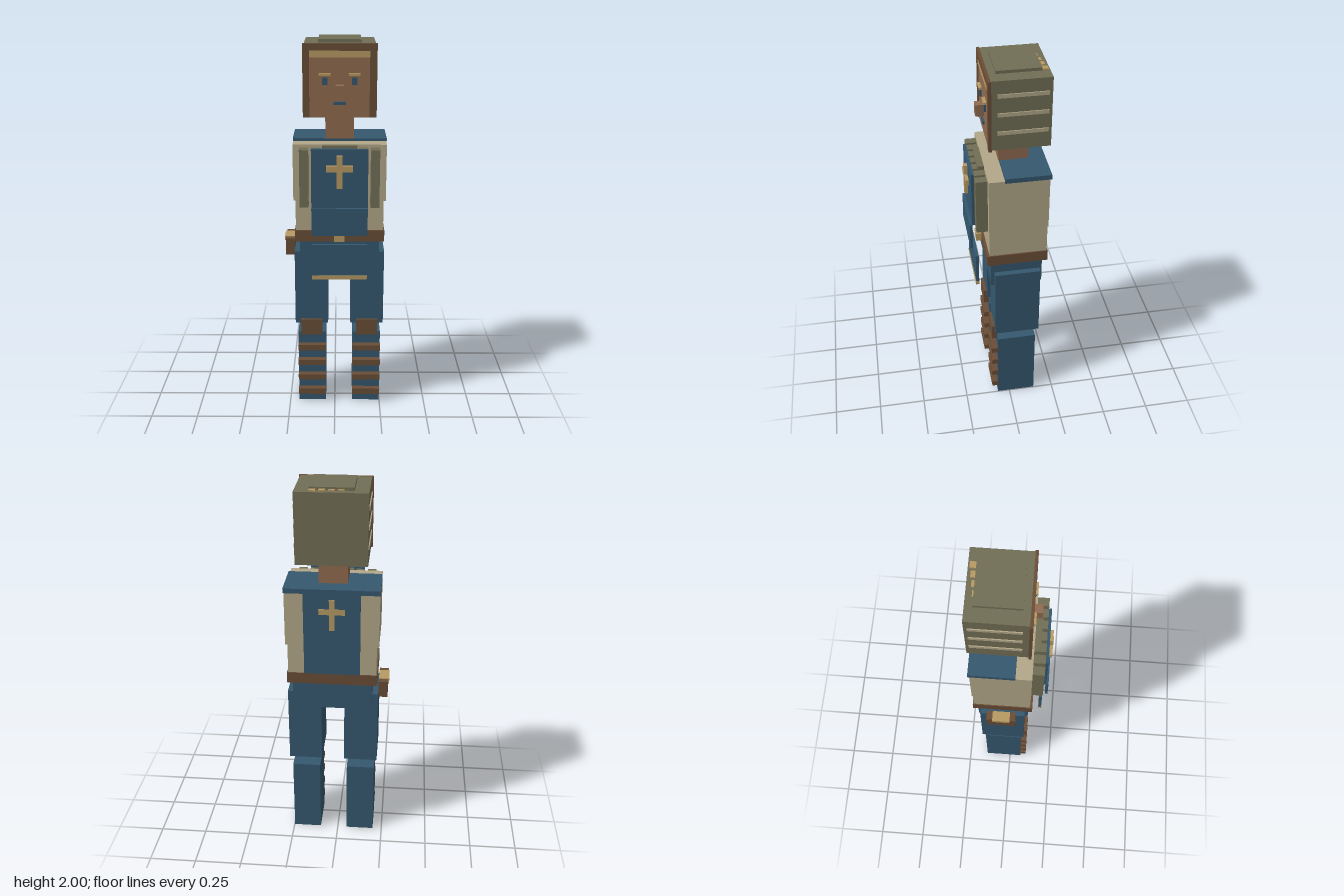
import * as THREE from 'three';

const mat = (name, color) => {
  const m = new THREE.MeshStandardMaterial({ color });
  m.name = name;
  return m;
};

export function createModel() {
  const blue = mat('blue cloth', 0x35586f);
  const tan = mat('tan cloth', 0xb3a888);
  const olive = mat('olive cloth', 0x726f56);
  const skin = mat('skin', 0x916b50);
  const brown = mat('brown leather', 0x6a4e37);
  const gold = mat('gold trim', 0xb89b63);

  const model = new THREE.Group();
  model.name = 'figure';
  const group = (name) => {
    const g = new THREE.Group();
    g.name = name;
    model.add(g);
    return g;
  };
  // Box given by its extents along each axis
  const box = (parent, name, material, [x0, x1], [y0, y1], [z0, z1]) => {
    const mesh = new THREE.Mesh(new THREE.BoxGeometry(x1 - x0, y1 - y0, z1 - z0), material);
    mesh.position.set((x0 + x1) / 2, (y0 + y1) / 2, (z0 + z1) / 2);
    mesh.name = name;
    parent.add(mesh);
  };
  const mid = 0.024; // body centre line
  const around = (c, w) => [c - w / 2, c + w / 2];

  // Head and face
  const head = group('head');
  box(head, 'hood', olive, [-0.152, 0.202], [1.626, 1.985], [-0.2, 0.086]);
  box(head, 'hoodTop', olive, [-0.082, 0.132], [1.985, 2], [-0.163, 0.053]);
  box(head, 'face', skin, [-0.135, 0.183], [1.62, 1.96], [-0.18, 0.095]);
  box(head, 'neck', skin, around(mid, 0.146), [1.5, 1.625], [-0.113, 0.036]);
  for (const x of [[-0.16, -0.127], [0.173, 0.209]])
    box(head, 'hoodSideRim', brown, x, [1.622, 1.985], [0.085, 0.1]);
  box(head, 'hoodTopRim', brown, [-0.127, 0.173], [1.95, 1.985], [0.085, 0.1]);
  box(head, 'headband', gold, [-0.127, 0.173], [1.918, 1.95], [0.09, 0.099]);
  for (const s of [-1, 1]) {
    box(head, 'eye', blue, around(mid + s * 0.074, 0.028), [1.785, 1.82], [0.095, 0.104]);
    box(head, 'eyebrow', gold, around(mid + s * 0.074, 0.058), [1.83, 1.841], [0.095, 0.11]);
  }
  box(head, 'nose', skin, around(mid, 0.042), [1.725, 1.785], [0.094, 0.137]);
  box(head, 'mouth', blue, around(mid, 0.062), [1.684, 1.701], [0.095, 0.104]);
  for (const y of [1.717, 1.813, 1.909])
    for (const x of [[-0.157, -0.151], [0.201, 0.207]])
      box(head, 'hoodStripe', tan, x, around(y, 0.019), [-0.185, 0.056]);
  for (let i = 0; i < 4; i++)
    box(head, 'hoodTab', gold, around(-0.02 + i * 0.045, 0.031), [1.985, 1.992], [-0.17 - i * 0.0075, -0.163]);

  // Torso and belt
  const torso = group('torso');
  box(torso, 'chest', tan, [-0.214, 0.263], [1.19, 1.485], [-0.19, 0.11]);
  box(torso, 'waist', tan, [-0.203, 0.252], [1.03, 1.19], [-0.188, 0.108]);
  box(torso, 'shoulderCape', blue, [-0.216, 0.266], [1.475, 1.5], [-0.198, 0.03]);
  box(torso, 'collarPlate', olive, [-0.065, 0.114], [1.455, 1.486], [0.11, 0.142]);
  for (let i = -3; i <= 3; i++)
    box(torso, 'chestStrip', olive, around(mid + i * 0.0603, 0.045), [1.17, 1.47], [0.11, 0.168]);
  box(torso, 'belt', brown, [-0.208, 0.258], [0.97, 1.03], [-0.193, 0.12]);
  box(torso, 'buckle', gold, around(mid, 0.054), [0.977, 1.023], [0.12, 0.148]);

  // Tabard panels and crosses, front and back
  const tabard = group('tabard');
  const panel = [-0.119, 0.168];
  box(tabard, 'frontPanel', blue, panel, [1.173, 1.478], [0.168, 0.182]);
  box(tabard, 'frontLowerPanel', blue, panel, [1.027, 1.173], [0.18, 0.194]);
  box(tabard, 'frontFlap', blue, panel, [0.797, 0.968], [0.152, 0.168]);
  box(tabard, 'flapTrim', gold, panel, [0.775, 0.797], [0.15, 0.17]);
  box(tabard, 'backPanel', blue, panel, [1.19, 1.478], [-0.196, -0.188]);
  box(tabard, 'backLowerPanel', blue, panel, [1.03, 1.19], [-0.194, -0.186]);
  for (const [z0, z1] of [[0.182, 0.2], [-0.2, -0.196]]) {
    box(tabard, 'crossUpright', gold, around(mid, 0.028), [1.28, 1.447], [z0, z1]);
    const inset = 0.001;
    box(tabard, 'crossBar', gold, around(mid, 0.133), [1.365, 1.396], [z0 + inset, z1 - inset]);
  }

  // Hips and hip pouch
  const hips = group('hips');
  box(hips, 'pelvis', blue, [-0.184, 0.232], [0.815, 0.97], [-0.17, 0.098]);
  box(hips, 'pouch', brown, [-0.262, -0.214], [0.865, 0.955], [-0.12, 0.035]);
  box(hips, 'pouchFlap', gold, [-0.268, -0.214], [0.935, 0.959], [-0.088, 0.004]);

  // Legs
  for (const s of [-1, 1]) {
    const leg = group(s < 0 ? 'rightLeg' : 'leftLeg');
    const c = mid + s * 0.149;
    box(leg, 'thigh', blue, around(c, 0.177), [0.485, 0.9], [-0.158, 0.08]);
    box(leg, 'shin', blue, around(c, 0.15), [0, 0.423], [-0.143, 0.066]);
    box(leg, 'kneePad', brown, around(c, 0.116), [0.42, 0.51], [0.068, 0.096]);
    for (let i = 0; i < 4; i++)
      box(leg, 'shinStrap', brown, around(c, 0.152), around(0.07 + i * 0.09, 0.033), [0.064, 0.099]);
  }
  return model;
}
